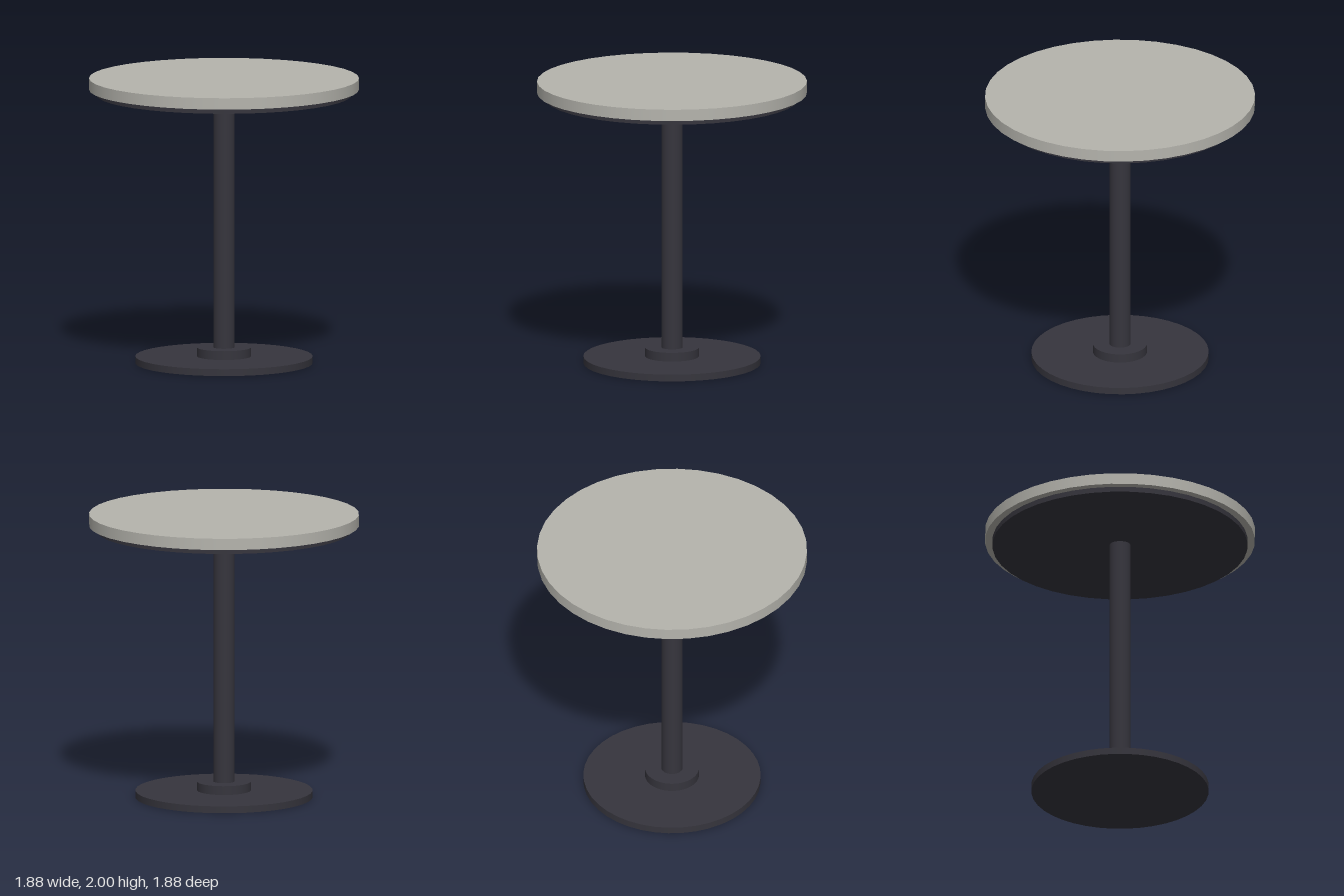
import * as THREE from 'three';

export function createModel() {
  const table = new THREE.Group();
  table.name = 'pedestalTable';

  const stone = new THREE.MeshStandardMaterial({ color: 0xb5b4ad });
  stone.name = 'pale stone';
  const metal = new THREE.MeshStandardMaterial({ color: 0x36353d });
  metal.name = 'dark metal';

  // Upright disc or post between two heights
  const disc = (name, radius, bottom, top, sides, material) => {
    const geometry = new THREE.CylinderGeometry(radius, radius, top - bottom, sides);
    const mesh = new THREE.Mesh(geometry, material);
    mesh.name = name;
    mesh.position.y = (bottom + top) / 2;
    table.add(mesh);
  };

  // Foot
  disc('basePlate', 0.616, 0, 0.048, 40, metal);
  disc('baseCollar', 0.188, 0.048, 0.11, 40, metal);

  // Post
  disc('column', 0.074, 0.11, 1.883, 32, metal);

  // Top and its supporting disc
  disc('supportPlate', 0.887, 1.883, 1.92, 40, metal);
  disc('tableTop', 0.938, 1.92, 2, 40, stone);

  return table;
}
